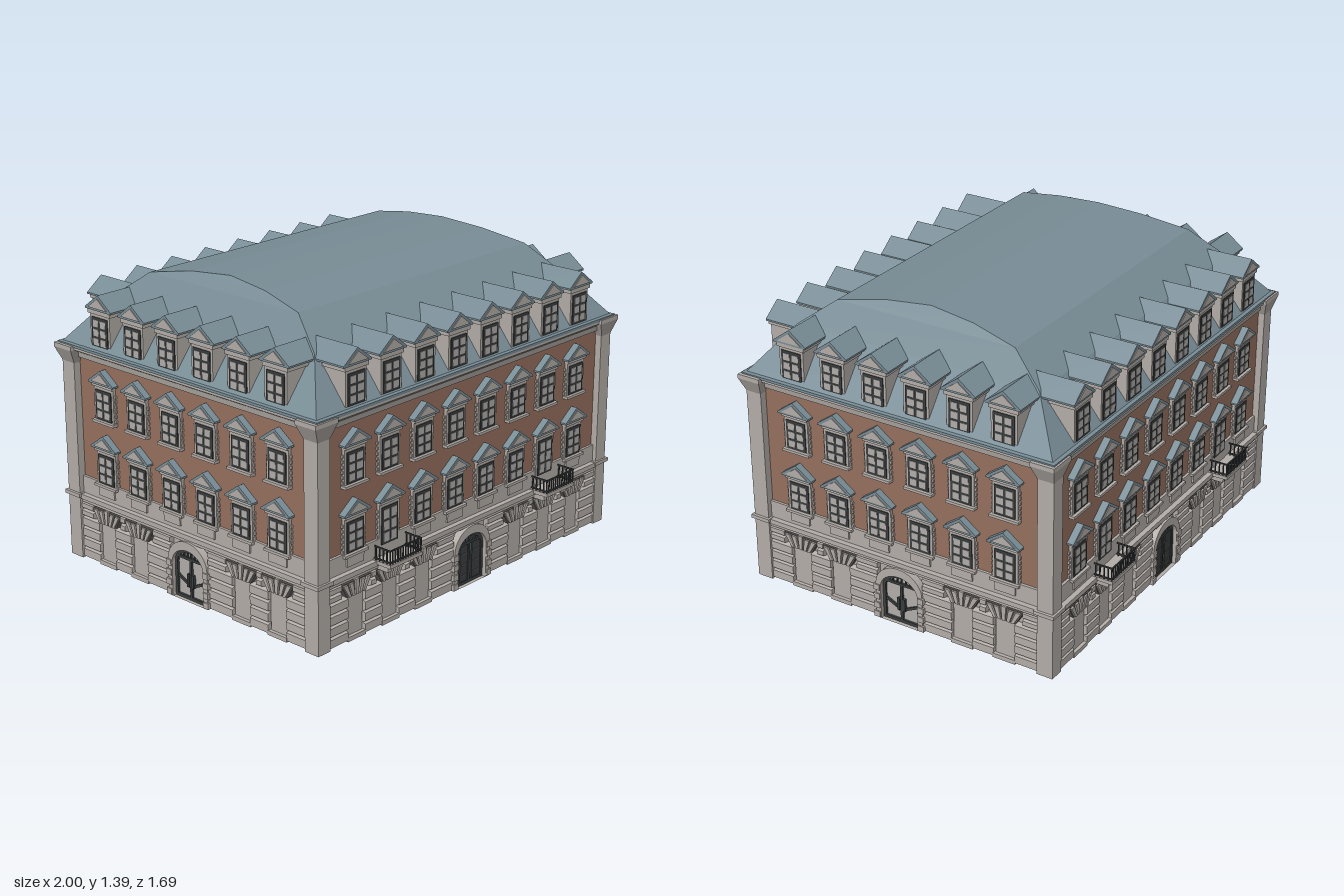
import * as THREE from 'three';

const mat = (name, color) => Object.assign(new THREE.MeshStandardMaterial({ color }), { name });
const stone = mat('stone', 0xb3ada8), brick = mat('brick', 0x956f5e), slate = mat('slate', 0x788c95);
const iron = mat('dark iron', 0x3a3d3e), pane = mat('window pane', 0xb0adaa);
const joint = mat('dark joint', 0x66625f), blue = mat('gate glass', 0x5d7681);

function add(parent, name, geo, material, x = 0, y = 0, z = 0) {
  const m = new THREE.Mesh(geo, material);
  m.name = name;
  m.position.set(x, y, z);
  parent.add(m);
  return m;
}

// Box from ranges: centre x, width, bottom, top, back, front
const box = (p, name, material, x, w, y0, y1, z0, z1) =>
  add(p, name, new THREE.BoxGeometry(w, y1 - y0, z1 - z0), material, x, (y0 + y1) / 2, (z0 + z1) / 2);

const extrude = (pts, depth) => new THREE.ExtrudeGeometry(
  new THREE.Shape(pts.map(([x, y]) => new THREE.Vector2(x, y))), { depth, bevelEnabled: false });

// Stacked rectangular rings [y, half x, half z]
function tiers(levels) {
  const pos = [], c = [[-1, 1], [1, 1], [1, -1], [-1, -1]];
  for (let i = 0; i < levels.length - 1; i++) for (let k = 0; k < 4; k++) {
    const at = (l, s) => [s[0] * l[1], l[0], s[1] * l[2]];
    const p = c[k], q = c[(k + 1) % 4], a = levels[i], b = levels[i + 1];
    pos.push(...at(a, p), ...at(a, q), ...at(b, q), ...at(a, p), ...at(b, q), ...at(b, p));
  }
  const g = new THREE.BufferGeometry();
  g.setAttribute('position', new THREE.Float32BufferAttribute(pos, 3));
  g.computeVertexNormals();
  return g;
}

// Slate-covered gable with a stone face
function gable(p, x, y, halfW, h, z0, z1) {
  add(p, 'gableRoof', extrude([[-halfW, 0], [halfW, 0], [halfW, 0.008], [0, h], [-halfW, 0.008]], z1 - z0), slate, x, y, z0);
  add(p, 'gableFace', extrude([[-halfW * 0.72, 0.01], [halfW * 0.72, 0.01], [0, h * 0.78]], 0.004), stone, x, y, z1);
}

// Dark frame with light panes, two columns wide
function windowPanes(p, x, y0, y1, w, z, rows = 3) {
  box(p, 'windowFrame', iron, x, w, y0, y1, z, z + 0.004);
  const pw = (w - 0.034) / 2, ph = (y1 - y0 - 0.012 - rows * 0.01) / rows;
  for (let r = 0; r < rows; r++) for (const s of [-1, 1]) {
    const b = y0 + 0.01 + r * (ph + 0.01);
    box(p, 'windowPane', pane, x + s * (pw / 2 + 0.006), pw, b, b + ph, z + 0.002, z + 0.006);
  }
}

function storeyWindow(p, x, y0, y1, balcony) {
  for (let i = 0; i < 6; i++) {
    const y = y0 + i * (y1 - y0) / 6;
    box(p, 'quoin', stone, x, 0.14, y, y + 0.014, 0, 0.008);
  }
  box(p, 'windowSurround', stone, x, 0.124, balcony ? 0.31 : y0 - 0.012, y1 + 0.03, 0, 0.014);
  if (!balcony) box(p, 'windowSill', stone, x, 0.14, y0 - 0.016, y0 - 0.004, 0, 0.028);
  windowPanes(p, x, balcony ? 0.36 : y0, y1, 0.1, 0.014);
  box(p, 'lintel', stone, x, 0.13, y1 + 0.016, y1 + 0.032, 0, 0.024);
  gable(p, x, y1 + 0.03, 0.08, 0.065, 0, 0.032);
}

function dormer(p, x) {
  box(p, 'dormerBody', stone, x, 0.124, 1.0, 1.19, -0.16, 0.018);
  windowPanes(p, x, 1.02, 1.155, 0.1, 0.018);
  box(p, 'dormerLintel', stone, x, 0.14, 1.168, 1.19, -0.1, 0.024);
  gable(p, x, 1.187, 0.083, 0.07, -0.2, 0.028);
}

function balcony(p, x) {
  box(p, 'balconySlab', stone, x, 0.2, 0.296, 0.312, 0, 0.11);
  for (const s of [-1, 1]) {
    box(p, 'balconyBracket', stone, x + s * 0.07, 0.02, 0.265, 0.296, 0, 0.08);
    for (const y of [0.318, 0.37]) box(p, 'sideRail', iron, x + s * 0.096, 0.006, y, y + 0.006, 0.02, 0.108);
    for (let i = 0; i < 4; i++) box(p, 'baluster', iron, x + s * 0.096, 0.005, 0.312, 0.374, 0.025 + i * 0.02, 0.03 + i * 0.02);
  }
  for (const y of [0.318, 0.37]) box(p, 'frontRail', iron, x, 0.198, y, y + 0.006, 0.102, 0.108);
  for (let i = 0; i < 13; i++) box(p, 'baluster', iron, x - 0.096 + i * 0.016, 0.005, 0.312, 0.374, 0.102, 0.107);
}

// Banded masonry between x0 and x1 with V-shaped grooves
function rustication(p, x0, x1, y0, y1) {
  const n = Math.round((y1 - y0) / 0.045), h = (y1 - y0) / n, pts = [[-0.01, y0]];
  for (let i = 0; i < n; i++) {
    const y = y0 + i * h;
    pts.push([0.008, y], [0.026, y + 0.007], [0.026, y + h - 0.007]);
  }
  pts.push([0.008, y1], [-0.01, y1]);
  const g = extrude(pts, x1 - x0);
  g.rotateY(-Math.PI / 2);
  add(p, 'rustication', g, stone, x1);
}

// Fan of wedge stones over a ground-floor panel
function groundPanel(p, x) {
  box(p, 'blankPanel', stone, x, 0.096, 0.02, 0.2, 0, 0.012);
  box(p, 'panelSill', stone, x, 0.11, 0, 0.02, 0, 0.028);
  add(p, 'fanJoint', extrude([[-0.055, 0.198], [0.055, 0.198], [0.092, 0.262], [-0.092, 0.262]], 0.022), joint, x);
  for (let i = -2; i <= 2; i++) {
    const a = i * 0.021, b = i * 0.036, top = i ? 0.258 : 0.268;
    add(p, 'fanStone', extrude([[a - 0.007, 0.2], [a + 0.007, 0.2], [b + 0.012, top], [b - 0.012, top]], 0.03), stone, x);
  }
}

function archShape(hw, spring, rise) {
  const s = new THREE.Shape();
  s.moveTo(-hw, 0);
  s.lineTo(hw, 0);
  s.lineTo(hw, spring);
  s.absellipse(0, spring, hw, rise, 0, Math.PI, false);
  s.lineTo(-hw, 0);
  return s;
}

function gate(p, dark) {
  const surround = archShape(0.12, 0.17, 0.105);
  surround.holes.push(archShape(0.095, 0.16, 0.075));
  add(p, 'gateSurround', new THREE.ExtrudeGeometry(surround, { depth: 0.034, bevelEnabled: false, curveSegments: 10 }), stone);
  for (const s of [-1, 1]) for (let i = 0; i < 4; i++)
    box(p, 'gateQuoin', stone, s * 0.113, 0.03, i * 0.045 + 0.005, i * 0.045 + 0.032, 0, 0.04);
  const fill = new THREE.ExtrudeGeometry(archShape(0.096, 0.16, 0.076), { depth: 0.006, bevelEnabled: false });
  add(p, 'gatePanel', fill, dark ? blue : pane);
  const frame = archShape(0.095, 0.16, 0.075);
  frame.holes.push(archShape(0.081, 0.16, 0.058));
  add(p, 'gateFrame', new THREE.ExtrudeGeometry(frame, { depth: 0.016, bevelEnabled: false }), iron);
  box(p, 'gateTransom', iron, 0, 0.17, 0.183, 0.195, 0, 0.016);
  box(p, 'gateMullion', iron, 0, 0.012, 0, 0.19, 0, 0.016);
  for (let i = -3; i <= 3; i++) box(p, 'fanlightBar', iron, i * 0.022, 0.005, 0.19, 0.232 - Math.abs(i) * 0.006, 0, 0.014);
  box(p, 'gateKickRail', iron, 0, 0.17, 0, 0.014, 0, 0.016);
  for (const s of [-1, 1]) {
    if (dark) {
      box(p, 'gateLeaf', iron, s * 0.04 + 0.012, 0.056, 0.01, 0.185, 0, 0.012);
      for (let r = 0; r < 3; r++) box(p, 'gateLeafRail', joint, s * 0.04 + 0.012, 0.036, 0.04 + r * 0.05, 0.044 + r * 0.05, 0.01, 0.015);
    } else {
      const bar = box(p, 'gateBrace', iron, s * 0.042, 0.085, 0.074, 0.086, 0, 0.014);
      bar.rotation.z = -s * -0.45;
      box(p, 'gateHandle', iron, s * 0.014, 0.012, 0.06, 0.12, 0, 0.02);
    }
  }
}

// One elevation, drawn in its own plane with z pointing outward
function facade(name, half, columns, isLong) {
  const g = new THREE.Group();
  g.name = name;
  const xs = Array.from({ length: columns }, (_, i) => (i - (columns - 1) / 2) * 0.21);
  const ground = xs.filter(x => Math.abs(x) > 0.2);
  box(g, 'belt', stone, 0, half * 2, 0.305, 0.39, 0, 0.012);
  box(g, 'beltLedge', stone, 0, half * 2, 0.288, 0.31, 0, 0.036);
  box(g, 'groundFrieze', stone, 0, half * 2, 0.27, 0.29, 0, 0.024);
  xs.forEach((x, i) => {
    const hasBalcony = isLong && (i === 1 || i === columns - 2);
    storeyWindow(g, x, 0.39, 0.525, hasBalcony);
    storeyWindow(g, x, 0.69, 0.825, false);
    dormer(g, x);
    if (hasBalcony) balcony(g, x);
    else box(g, 'apron', stone, x, 0.1, 0.33, 0.375, 0, 0.02);
  });
  ground.forEach(x => groundPanel(g, x));
  gate(g, isLong);
  // Masonry fills the gaps between openings in a lower and an upper band
  for (const [y0, y1, w] of [[0, 0.2, 0.052], [0.2, 0.27, 0.09]]) {
    const stops = [...ground.map(x => [x, w]), [0, 0.116]].sort((a, b) => a[0] - b[0]);
    let x0 = -half;
    for (const [x, hw] of [...stops, [half, 0]]) {
      rustication(g, x0, x - hw, y0, y1);
      x0 = x + hw;
    }
  }
  return g;
}

export function createModel() {
  const model = new THREE.Group();
  model.name = 'townhouse';
  // Core walls
  box(model, 'groundFloorCore', stone, 0, 1.87, 0, 0.39, -0.735, 0.735);
  box(model, 'brickCore', brick, 0, 1.87, 0.39, 0.95, -0.735, 0.735);
  add(model, 'cornice', tiers([[0.94, 0.93, 0.73], [0.946, 0.95, 0.75], [0.972, 0.955, 0.755],
    [0.986, 0.98, 0.772], [1.0, 0.98, 0.772]]), stone);
  // Mansard roof with a gently curved crown
  add(model, 'roof', tiers([[0.998, 0.985, 0.775], [1.01, 0.985, 0.775], [1.012, 0.968, 0.758], [1.21, 0.81, 0.6],
    [1.33, 0.735, 0.44], [1.37, 0.7, 0.22], [1.388, 0.68, 0]]), slate);
  // Corner piers with flared capitals
  for (const sx of [-1, 1]) for (const sz of [-1, 1]) {
    const x = sx * 0.935, z = sz * 0.728;
    box(model, 'cornerPier', stone, x, 0.07, 0, 0.95, z - 0.038, z + 0.038);
    box(model, 'pierLedge', stone, x, 0.096, 0.295, 0.312, z - 0.048, z + 0.048);
    add(model, 'pierCapital', tiers([[0.92, 0.035, 0.038], [0.985, 0.065, 0.056], [1.004, 0.065, 0.056], [1.004, 0, 0]]), stone, x, 0, z);
  }
  // Four elevations
  for (const s of [0, 1]) {
    const long = facade(s ? 'backFacade' : 'frontFacade', 0.9, 8, true);
    long.rotation.y = s * Math.PI;
    long.position.z = s ? -0.735 : 0.735;
    const short = facade(s ? 'rightFacade' : 'leftFacade', 0.69, 6, false);
    short.rotation.y = s ? -Math.PI / 2 : Math.PI / 2;
    short.position.x = s ? -0.935 : 0.935;
    model.add(long, short);
  }
  return model;
}
